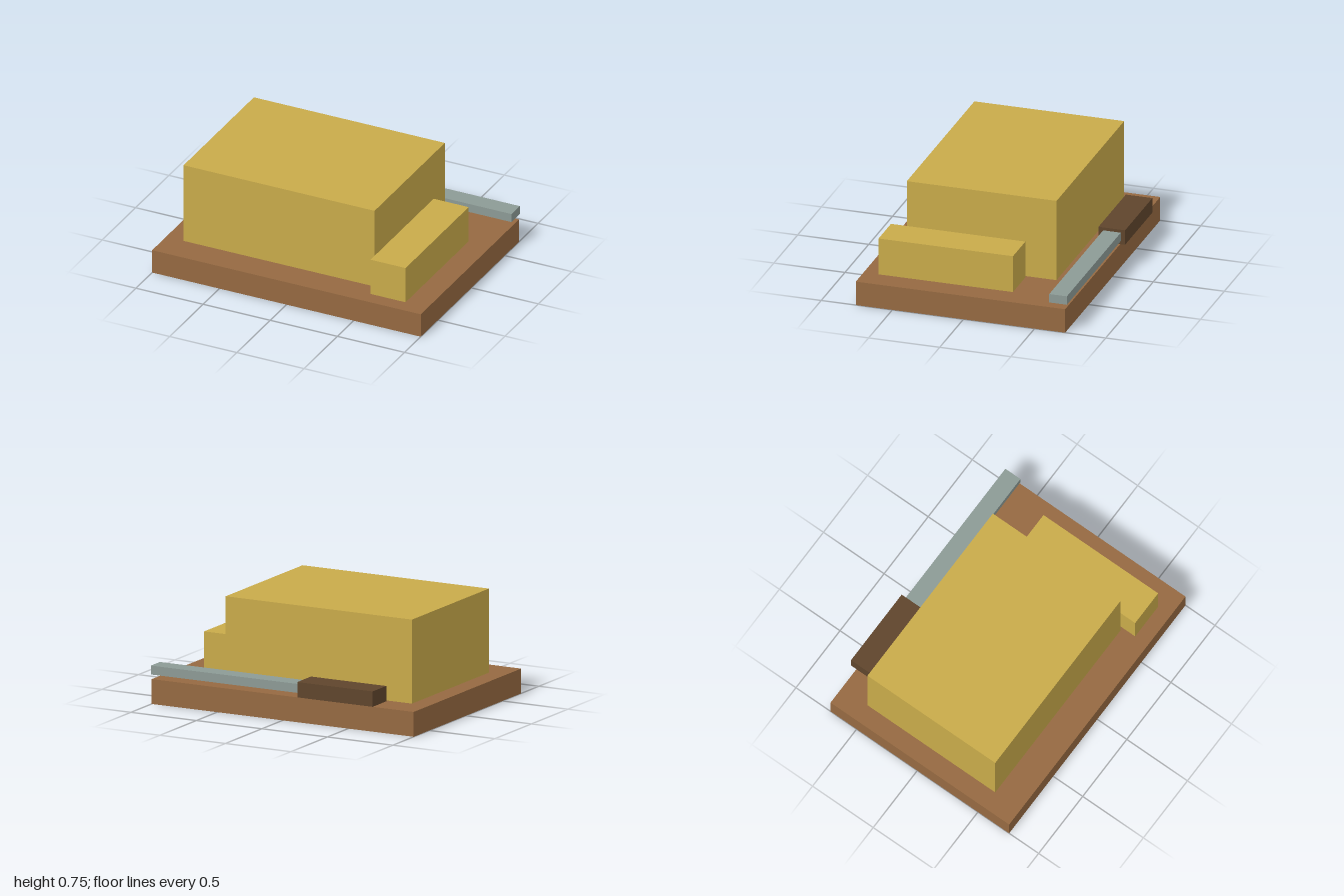
import * as THREE from 'three';

export function createModel() {
  const model = new THREE.Group();
  const material = (name, color) => {
    const m = new THREE.MeshStandardMaterial({ color });
    m.name = name;
    return m;
  };
  const wood = material('board wood', 0x956941);
  const crust = material('bread crust', 0xc8aa4a);
  const steel = material('blade steel', 0x8c9a95);
  const darkWood = material('handle wood', 0x5f452c);

  // Box given by its extents along each axis
  const box = (name, mat, [x0, x1], [y0, y1], [z0, z1], parent = model) => {
    const mesh = new THREE.Mesh(new THREE.BoxGeometry(x1 - x0, y1 - y0, z1 - z0), mat);
    mesh.position.set((x0 + x1) / 2, (y0 + y1) / 2, (z0 + z1) / 2);
    mesh.name = name;
    parent.add(mesh);
  };

  // Cutting board with the loaf and a cut piece on top
  box('cuttingBoard', wood, [-1, 1], [0, 0.17], [-0.715, 0.757]);
  box('loaf', crust, [-0.87, 0.552], [0.17, 0.745], [-0.505, 0.548]);
  box('breadSlice', crust, [0.574, 0.835], [0.17, 0.43], [-0.293, 0.652]);

  // Knife hovering along the back edge
  const knife = new THREE.Group();
  knife.name = 'knife';
  model.add(knife);
  box('knifeBlade', steel, [-0.135, 1], [0.204, 0.265], [-0.727, -0.603], knife);
  box('knifeHandle', darkWood, [-0.71, -0.135], [0.181, 0.286], [-0.757, -0.57], knife);

  return model;
}
